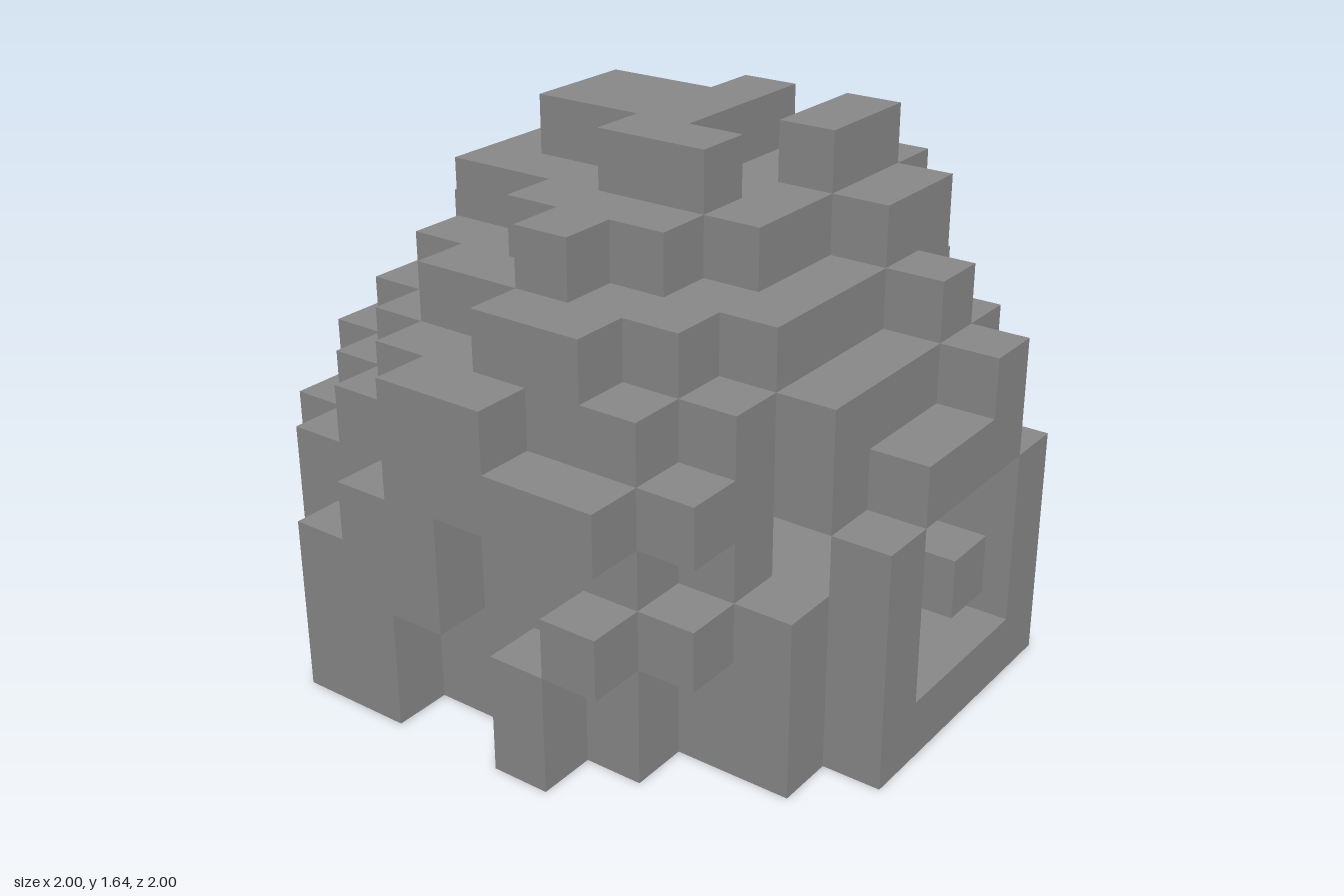
import * as THREE from 'three';
import { mergeGeometries } from 'three/addons/utils/BufferGeometryUtils.js';

const N = 11, TOP = 9, S = 2 / N;

// Column heights in blocks: one line per step from back to front, left to right in x
const HEIGHTS = [
  '00454650000',
  '04566775000',
  '35678887600',
  '46778998750',
  '66788998764',
  '67889999875',
  '57789888763',
  '56778899865',
  '05677788650',
  '00366676400',
  '00045564000',
];

// Gaps under overhanging blocks: [x, z, first level, last level]
const GAPS = [
  [3, 0, 0, 2], [6, 0, 0, 2],
  [0, 4, 0, 1], [0, 5, 0, 3],
  [0, 6, 2, 3],
  [0, 7, 0, 1], [0, 7, 3, 3],
  [1, 8, 0, 1], [1, 8, 3, 3],
  [9, 8, 0, 1],
  [10, 5, 1, 2],
];

// Wooden and dark blocks inside the chamber: [x, y, z]
const WOOD = [[4, 1, 3], [6, 1, 3], [6, 3, 3], [1, 1, 6]];
const HEARTH = [[5, 1, 3]];

const has = (list, x, y, z) => list.some(b => b[0] === x && b[1] === y && b[2] === z);

// Hollow chamber with its doorway in the front wall
function inChamber(x, y, z) {
  if (y < 1 || y > 3) return false;
  if (z === 10) return x >= 4 && x <= 6 && !(x === 5 && y === 2);
  if (z < 3) return false;
  const wide = z >= 4 && z <= 7 ? 1 : 0;
  return x >= 3 - wide && x <= 7 + wide;
}

function blockAt(x, y, z) {
  if (x < 0 || y < 0 || z < 0 || x >= N || y >= TOP || z >= N) return null;
  if (has(WOOD, x, y, z)) return 'wood';
  if (has(HEARTH, x, y, z)) return 'hearth';
  if (y >= Number(HEIGHTS[z][x]) || inChamber(x, y, z)) return null;
  if (GAPS.some(g => g[0] === x && g[1] === z && y >= g[2] && y <= g[3])) return null;
  return 'stone';
}

// One outward square for each of the six directions
function makeSides() {
  const side = (dx, dy, dz, rx, ry) => {
    const geometry = new THREE.PlaneGeometry(S, S);
    geometry.rotateX(rx).rotateY(ry);
    geometry.translate(dx * S / 2, dy * S / 2, dz * S / 2);
    return { dx, dy, dz, geometry };
  };
  const q = Math.PI / 2;
  return [
    side(0, 0, 1, 0, 0), side(0, 0, -1, 0, Math.PI),
    side(1, 0, 0, 0, q), side(-1, 0, 0, 0, -q),
    side(0, 1, 0, -q, 0), side(0, -1, 0, q, 0),
  ];
}

export function createModel() {
  const group = new THREE.Group();
  group.name = 'blockDome';
  const sides = makeSides();
  const faces = { stone: [], wood: [], hearth: [] };

  // Keep only the faces that border open space
  for (let x = 0; x < N; x++)
    for (let y = 0; y < TOP; y++)
      for (let z = 0; z < N; z++) {
        const kind = blockAt(x, y, z);
        if (!kind) continue;
        for (const s of sides) {
          if (blockAt(x + s.dx, y + s.dy, z + s.dz)) continue;
          faces[kind].push(s.geometry.clone().translate(
            -1 + (x + 0.5) * S, (y + 0.5) * S, -1 + (z + 0.5) * S));
        }
      }

  const parts = [
    ['stone', 'stoneDome', 'stone grey', 0x888888],
    ['wood', 'woodenBlocks', 'warm wood', 0x966f33],
    ['hearth', 'hearthBlock', 'dark slate', 0x2d3642],
  ];
  for (const [kind, name, colourName, color] of parts) {
    const material = new THREE.MeshStandardMaterial({ color });
    material.name = colourName;
    const mesh = new THREE.Mesh(mergeGeometries(faces[kind]), material);
    mesh.name = name;
    group.add(mesh);
  }
  return group;
}
